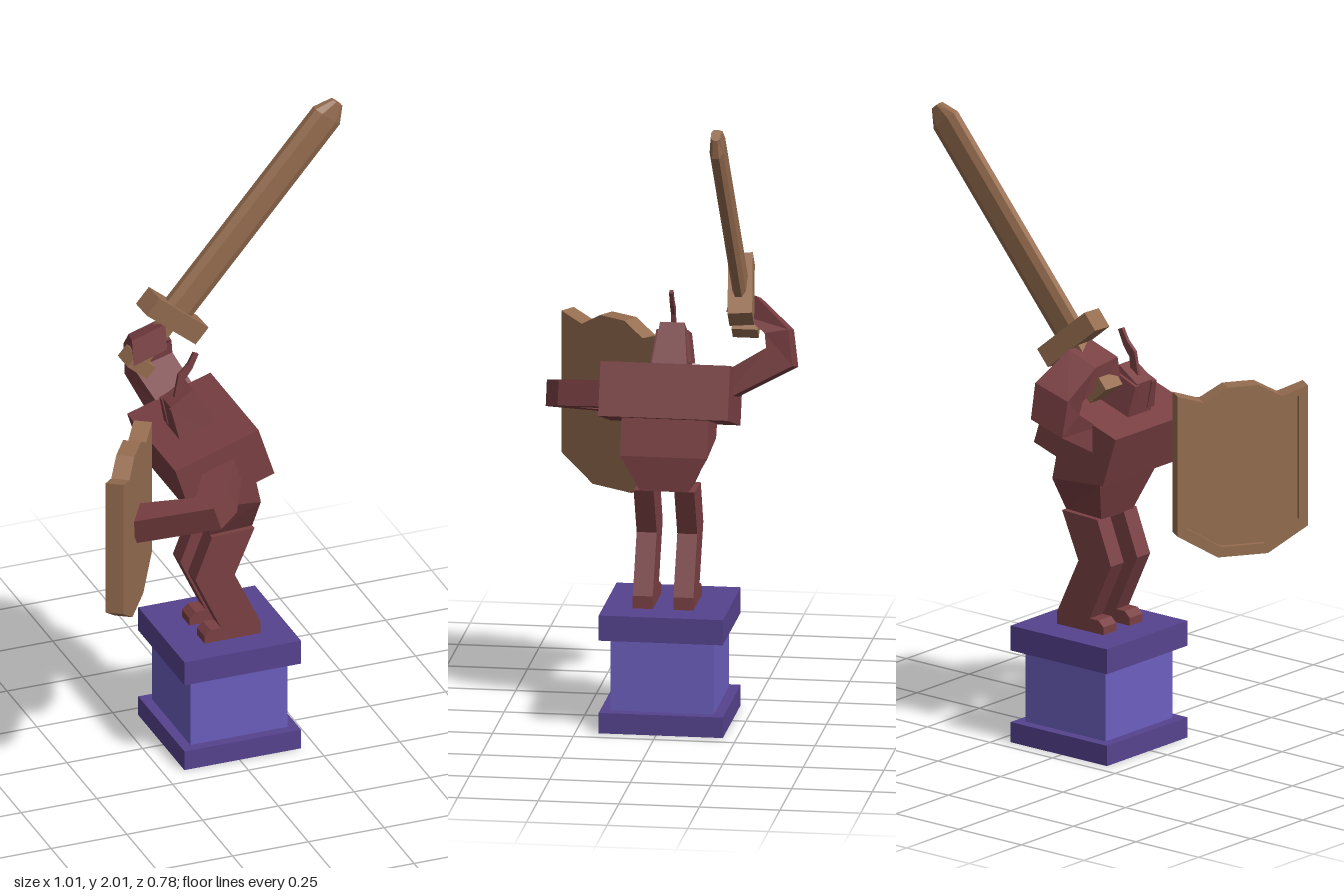
import * as THREE from 'three';

const mat = (color) => new THREE.MeshStandardMaterial({ color, flatShading: true, side: THREE.DoubleSide });
const ZC = -0.008; // mid plane of the figure

// Skin a closed solid through matching rings of points
function loft(rings) {
  const n = rings[0].length, tris = [];
  const quad = (a, b, c, d) => tris.push([a, b, c], [a, c, d]);
  for (let i = 0; i < rings.length - 1; i++) {
    for (let j = 0; j < n; j++) {
      const k = (j + 1) % n;
      quad(rings[i][j], rings[i][k], rings[i + 1][k], rings[i + 1][j]);
    }
  }
  const first = rings[0], last = rings[rings.length - 1];
  for (let j = 1; j < n - 1; j++) {
    tris.push([first[0], first[j + 1], first[j]], [last[0], last[j], last[j + 1]]);
  }
  // Turn the corners round if the solid is inside out
  const v = (p) => new THREE.Vector3(...p);
  const volume = tris.reduce((s, [a, b, c]) => s + v(a).dot(v(b).cross(v(c))), 0);
  const out = tris.flatMap((t) => (volume < 0 ? [...t].reverse() : t)).flat();
  const g = new THREE.BufferGeometry();
  g.setAttribute('position', new THREE.Float32BufferAttribute(out, 3));
  g.computeVertexNormals();
  return g;
}

const polygon = (pts) => new THREE.Shape(pts.map((p) => new THREE.Vector2(...p)));

// Flat outline in x,y given a thickness centred on z
function slab(shape, depth, z = 0) {
  return new THREE.ExtrudeGeometry(shape, { depth, bevelEnabled: false }).translate(0, 0, z - depth / 2);
}

export function createModel() {
  const model = new THREE.Group();
  const maroon = mat(0x7a4043), brown = mat(0x966d50);
  const purple = mat(0x6c5fbe), darkPurple = mat(0x56438f);

  function add(name, geometry, material, parent = model) {
    const mesh = new THREE.Mesh(geometry, material);
    mesh.name = name;
    parent.add(mesh);
    return mesh;
  }
  function box(name, w, h, d, x, y, z, material, parent) {
    const mesh = add(name, new THREE.BoxGeometry(w, h, d), material, parent);
    mesh.position.set(x, y, z);
    return mesh;
  }

  // Pedestal
  box('pedestalBase', 0.385, 0.065, 0.385, 0.01, 0.0325, -0.015, darkPurple);
  box('pedestalBlock', 0.32, 0.24, 0.32, 0.01, 0.18, -0.015, purple);
  box('pedestalTop', 0.385, 0.08, 0.385, 0.01, 0.335, -0.015, darkPurple);

  // Legs with feet
  const legOutline = polygon([
    [-0.08, 0.375], [0.105, 0.375], [0.105, 0.415], [0.02, 0.595], [0.085, 0.745],
    [-0.055, 0.74], [-0.11, 0.6], [-0.025, 0.418], [-0.06, 0.418], [-0.08, 0.4],
  ]);
  for (const [name, side] of [['shieldSideLeg', 1], ['swordSideLeg', -1]]) {
    add(name, slab(legOutline, 0.062, ZC + side * 0.063), maroon);
  }

  // Body sections: front edge, back edge, half width
  const cut = (xf, yf, xb, yb, h) => [
    [xf, yf, ZC + h], [xb, yb, ZC + h], [xb, yb, ZC - h], [xf, yf, ZC - h],
  ];
  add('waist', loft([
    cut(-0.055, 0.735, 0.085, 0.745, 0.075),
    cut(-0.1, 0.87, 0.09, 0.855, 0.135),
    cut(-0.145, 0.96, 0.055, 1.02, 0.135),
  ]), maroon);
  const chest = box('chest', 0.289, 0.169, 0.402, -0.055, 1.02, ZC, maroon);
  chest.rotation.z = 0.315;

  // Helmet with cheek plates, brow and plume
  add('helmet', loft([
    cut(-0.145, 1.07, -0.02, 1.11, 0.056),
    cut(-0.168, 1.185, -0.095, 1.235, 0.038),
  ]), maroon);
  for (const s of [1, -1]) {
    const plate = (xf, yf, xb, yb, a, b) => [
      [xf, yf, ZC + s * a], [xb, yb, ZC + s * a], [xb, yb, ZC + s * b], [xf, yf, ZC + s * b],
    ];
    add('cheekPlate', loft([
      plate(-0.152, 1.09, -0.07, 1.115, 0.03, 0.063),
      plate(-0.172, 1.18, -0.1, 1.21, 0.03, 0.05),
    ]), maroon);
  }
  add('plume', slab(polygon([
    [-0.145, 1.2], [-0.115, 1.21], [-0.11, 1.255], [-0.085, 1.29], [-0.065, 1.335],
    [-0.08, 1.342], [-0.1, 1.305], [-0.13, 1.275],
  ]), 0.012, ZC), maroon);

  // Shield arm, sloping down to the front: inner x,z then outer x,z
  add('shieldArm', loft([
    [-0.11, 0.16, -0.01, 0.16],
    [-0.185, 0.285, -0.1, 0.345],
    [-0.195, 0.29, -0.17, 0.392],
    [-0.34, 0.18, -0.395, 0.255],
  ].map(([xi, zi, xo, zo]) => {
    const top = (x) => 1.07 + 0.32 * x;
    return [
      [xi, top(xi), zi], [xo, top(xo), zo],
      [xo + 0.025, top(xo) - 0.077, zo], [xi + 0.025, top(xi) - 0.077, zi],
    ];
  })), maroon);

  // Raised sword arm: front x, back x, outer y,z and inner y,z
  add('swordArm', loft([
    [-0.12, 0.0, 1.0, -0.18, 1.09, -0.18],
    [-0.155, -0.03, 1.11, -0.39, 1.165, -0.308],
    [-0.165, -0.035, 1.225, -0.375, 1.21, -0.303],
    [-0.19, -0.08, 1.315, -0.27, 1.25, -0.235],
    [-0.21, -0.1, 1.335, -0.19, 1.255, -0.175],
  ].map(([xf, xb, yo, zo, yi, zi]) => [
    [xf, yo - 0.018, zo], [xb, yo + 0.018, zo], [xb, yi + 0.018, zi], [xf, yi - 0.018, zi],
  ])), maroon);

  // Sword, built upright from the centre of the guard
  const sword = new THREE.Group();
  sword.name = 'sword';
  sword.position.set(-0.063, 1.358, -0.226);
  sword.rotation.z = -0.706;
  model.add(sword);
  const bladeCut = (y, w, t) => [
    [-w, y, -t * 0.5], [-w * 0.55, y, -t], [w * 0.55, y, -t],
    [w, y, -t * 0.5], [w, y, t * 0.5], [w * 0.55, y, t], [-w * 0.55, y, t], [-w, y, t * 0.5],
  ];
  add('blade', loft([
    bladeCut(0, 0.052, 0.021), bladeCut(0.785, 0.052, 0.021), bladeCut(0.838, 0.02, 0.015),
  ]), brown, sword);
  const guard = box('guard', 0.225, 0.066, 0.076, 0, 0, 0, brown, sword);
  guard.rotation.y = 0.1;
  box('grip', 0.045, 0.17, 0.045, 0, -0.09, 0, brown, sword);
  box('pommel', 0.085, 0.045, 0.08, 0, -0.18, 0, brown, sword);

  // Shield: thick plate with a raised rim on the outer face
  const shield = new THREE.Group();
  shield.name = 'shield';
  shield.position.set(-0.375, 0, 0.2);
  shield.rotation.y = Math.atan2(-0.833, -0.553);
  model.add(shield);
  const half = [[0, 0.627], [0.08, 0.627], [0.209, 0.705], [0.209, 1.155], [0.125, 1.128], [0.05, 1.17]];
  const mirror = (pts) => [...pts, ...pts.slice(1).reverse().map(([x, y]) => [-x, y])];
  const outline = mirror(half);
  const inner = mirror(half.map(([x, y]) => [x * 0.86, 0.9 + (y - 0.9) * 0.88]));
  add('shieldPlate', slab(polygon(outline), 0.043, -0.007), brown);
  shield.add(model.children.pop());
  shield.children[0].parent = shield;
  const rim = polygon(outline);
  rim.holes.push(polygon(inner));
  add('shieldRim', slab(rim, 0.014, 0.0215), brown, shield);

  return model;
}
